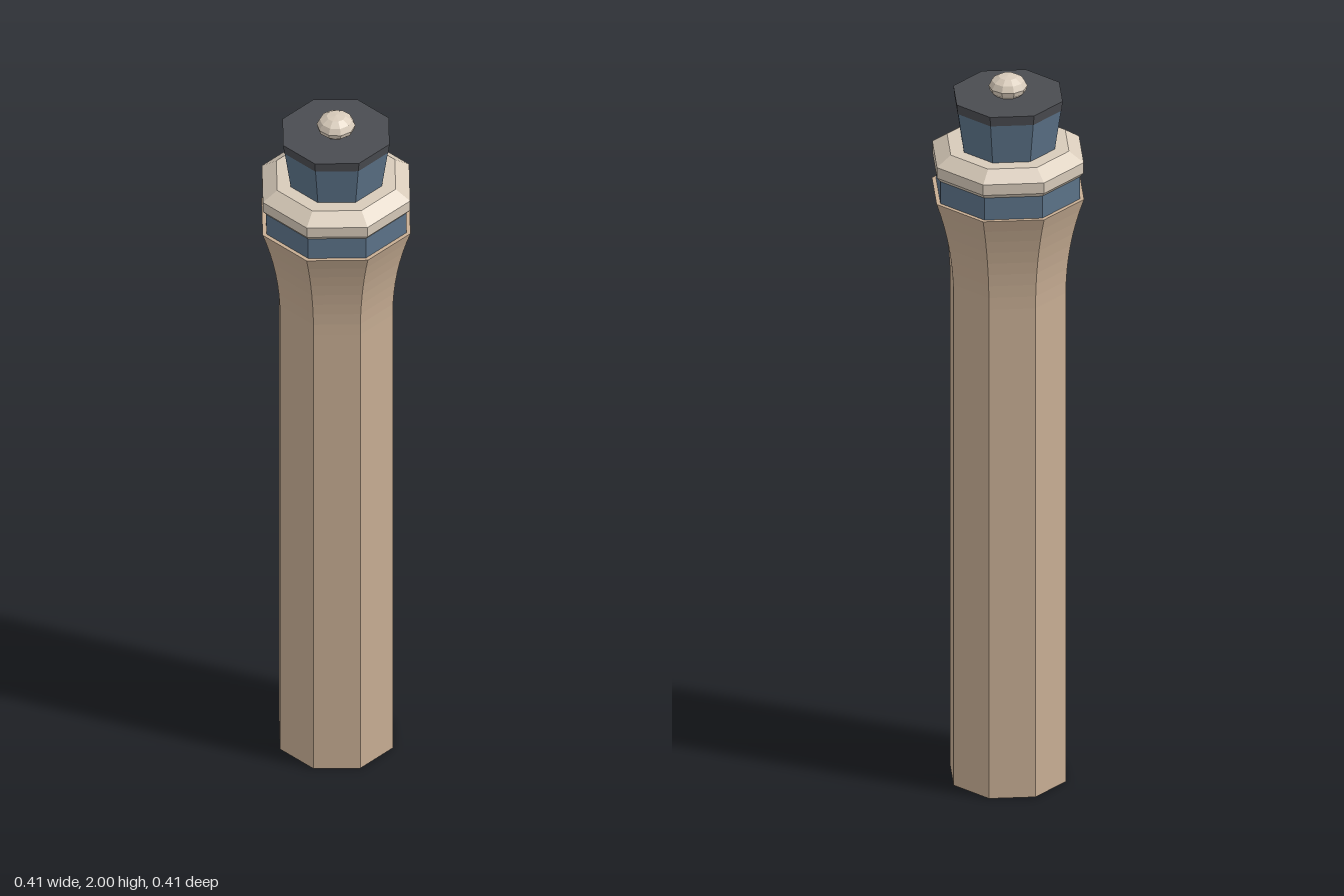
import * as THREE from 'three';

const tan = new THREE.MeshStandardMaterial({ color: 0xc8ae94, side: THREE.DoubleSide });
tan.name = 'tan concrete';
const cream = new THREE.MeshStandardMaterial({ color: 0xd8cbba });
cream.name = 'cream trim';
const blue = new THREE.MeshStandardMaterial({ color: 0x5c7389 });
blue.name = 'blue glass';
const dark = new THREE.MeshStandardMaterial({ color: 0x4a4c51 });
dark.name = 'dark roof';

// Faceted solid of revolution from [radius, height] pairs, listed bottom to top
function turned(name, profile, material, sides = 8) {
  const points = profile.map(([r, y]) => new THREE.Vector2(r, y));
  const geometry = new THREE.LatheGeometry(points, sides).toNonIndexed();
  geometry.computeVertexNormals();
  const mesh = new THREE.Mesh(geometry, material);
  mesh.name = name;
  return mesh;
}

export function createModel() {
  const group = new THREE.Group();
  group.name = 'controlTower';

  // Hollow octagonal shaft, open at the foot, flaring out at the head
  const shaft = [[0.157, 0]];
  const steps = 8;
  for (let i = 0; i <= steps; i++) {
    const t = i / steps;
    shaft.push([0.157 + 0.049 * t * t, 1.4 + 0.275 * t]);
  }
  shaft.push([0.19, 1.675]);
  group.add(turned('shaft', shaft, tan));

  // Window band under the gallery
  group.add(turned('lowerWindowBand', [[0, 1.672], [0.195, 1.672], [0.195, 1.742]], blue));

  // Gallery ring with a sloping upper edge
  group.add(turned('galleryRing', [
    [0, 1.738], [0.195, 1.738], [0.205, 1.75], [0.205, 1.78], [0.165, 1.807], [0, 1.807],
  ], cream));

  // Cabin with outward-leaning windows
  group.add(turned('cabin', [[0.127, 1.807], [0.144, 1.921]], blue));

  // Flat roof slab
  group.add(turned('roof', [[0, 1.92], [0.145, 1.92], [0.148, 1.947], [0, 1.947]], dark));

  // Rounded dome on the roof
  group.add(turned('dome', [
    [0.032, 1.945], [0.047, 1.958], [0.05, 1.97], [0.042, 1.986], [0.024, 1.997], [0, 2],
  ], cream, 10));

  return group;
}
